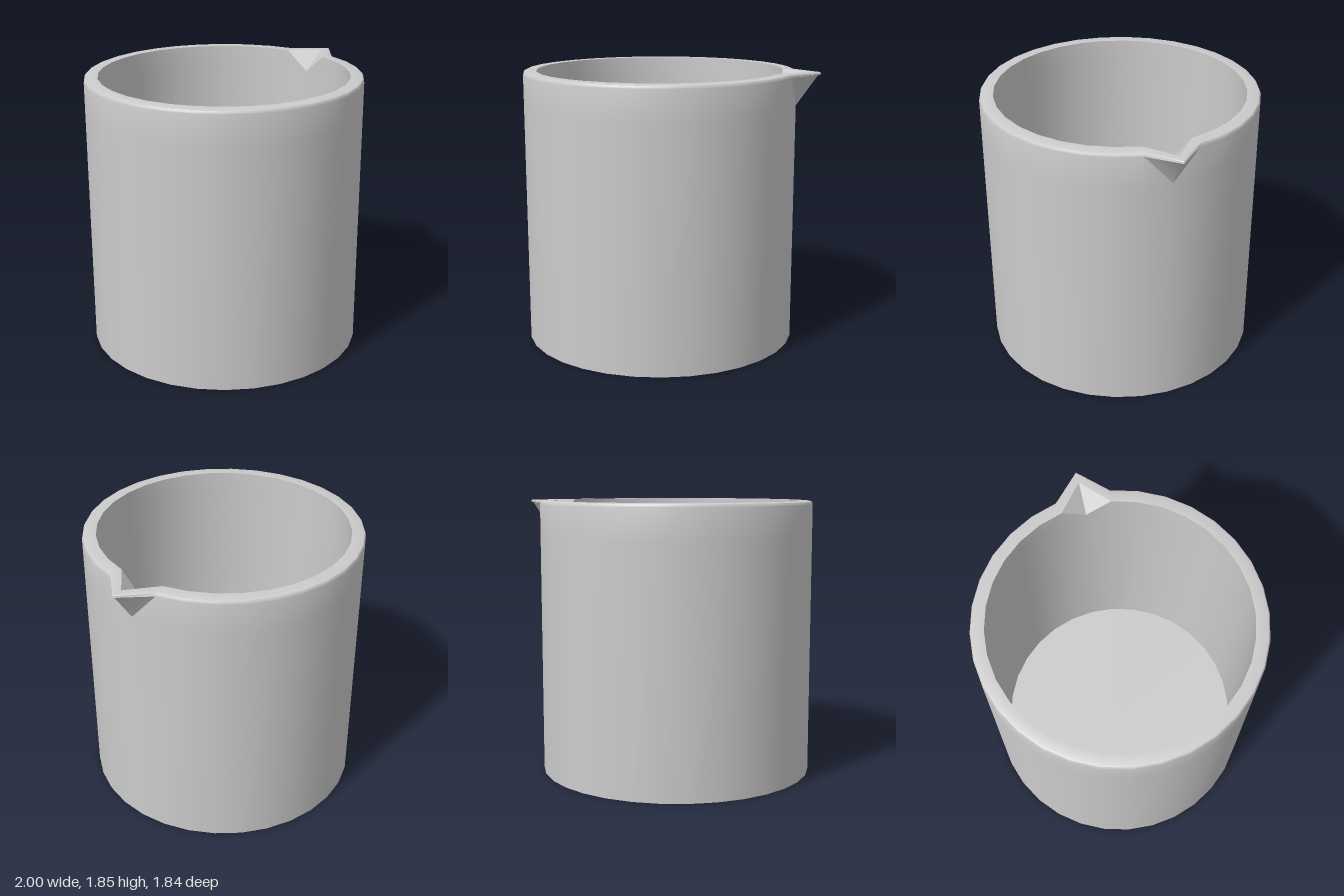
import * as THREE from 'three';
import { toCreasedNormals } from 'three/addons/utils/BufferGeometryUtils.js';

const SIDES = 32;
const CENTRE_X = -0.08;

// Rings from the centre of the base, up the outside, over the rim and down to the inner floor.
// r: radius, y: height, tip: radius of the ring where it is drawn out into the spout
const rings = [
  { r: 0, y: 0 },
  { r: 0.92, y: 0 },
  { r: 0.92, y: 1.62 },
  { r: 0.92, y: 1.822, tip: 1.06 },
  { r: 0.918, y: 1.83, tip: 1.08 },
  { r: 0.912, y: 1.84, tip: 1.078 },
  { r: 0.9, y: 1.845, tip: 1.07 },
  { r: 0.83, y: 1.845, tip: 1.0 },
  { r: 0.83, y: 1.715 },
  { r: 0.83, y: 0.09 },
  { r: 0, y: 0.09 },
];

// Point on a ring; side 0 is the one pulled outward into the spout
function ringPoint(ring, side) {
  const j = side % SIDES;
  const a = (j / SIDES) * Math.PI * 2;
  const r = j === 0 && ring.tip ? ring.tip : ring.r;
  return [CENTRE_X + r * Math.cos(a), ring.y, -r * Math.sin(a)];
}

function beakerGeometry() {
  const positions = [];
  const tri = (a, b, c) => positions.push(...a, ...b, ...c);
  for (let i = 0; i < rings.length - 1; i++) {
    const lower = rings[i], upper = rings[i + 1];
    const innerSpout = Boolean(lower.tip) && !upper.tip;
    for (let j = 0; j < SIDES; j++) {
      const a = ringPoint(lower, j), b = ringPoint(lower, j + 1);
      const c = ringPoint(upper, j + 1), d = ringPoint(upper, j);
      if (lower.r === 0) tri(a, c, d);
      else if (upper.r === 0) tri(a, b, c);
      // the diagonals mirror across the spout so that it folds to a point below
      else if ((j === SIDES - 1) !== innerSpout) {
        tri(a, b, d);
        tri(b, c, d);
      } else {
        tri(a, b, c);
        tri(a, c, d);
      }
    }
  }
  const geometry = new THREE.BufferGeometry();
  geometry.setAttribute('position', new THREE.Float32BufferAttribute(positions, 3));
  return toCreasedNormals(geometry, 0.6);
}

export function createModel() {
  const model = new THREE.Group();
  model.name = 'beaker';

  // Thick-walled vessel with a rounded rim and pinched pouring spout
  const vessel = new THREE.Mesh(
    beakerGeometry(),
    new THREE.MeshStandardMaterial({ color: 0xcccccc })
  );
  vessel.name = 'vesselWithSpout';
  model.add(vessel);
  return model;
}
